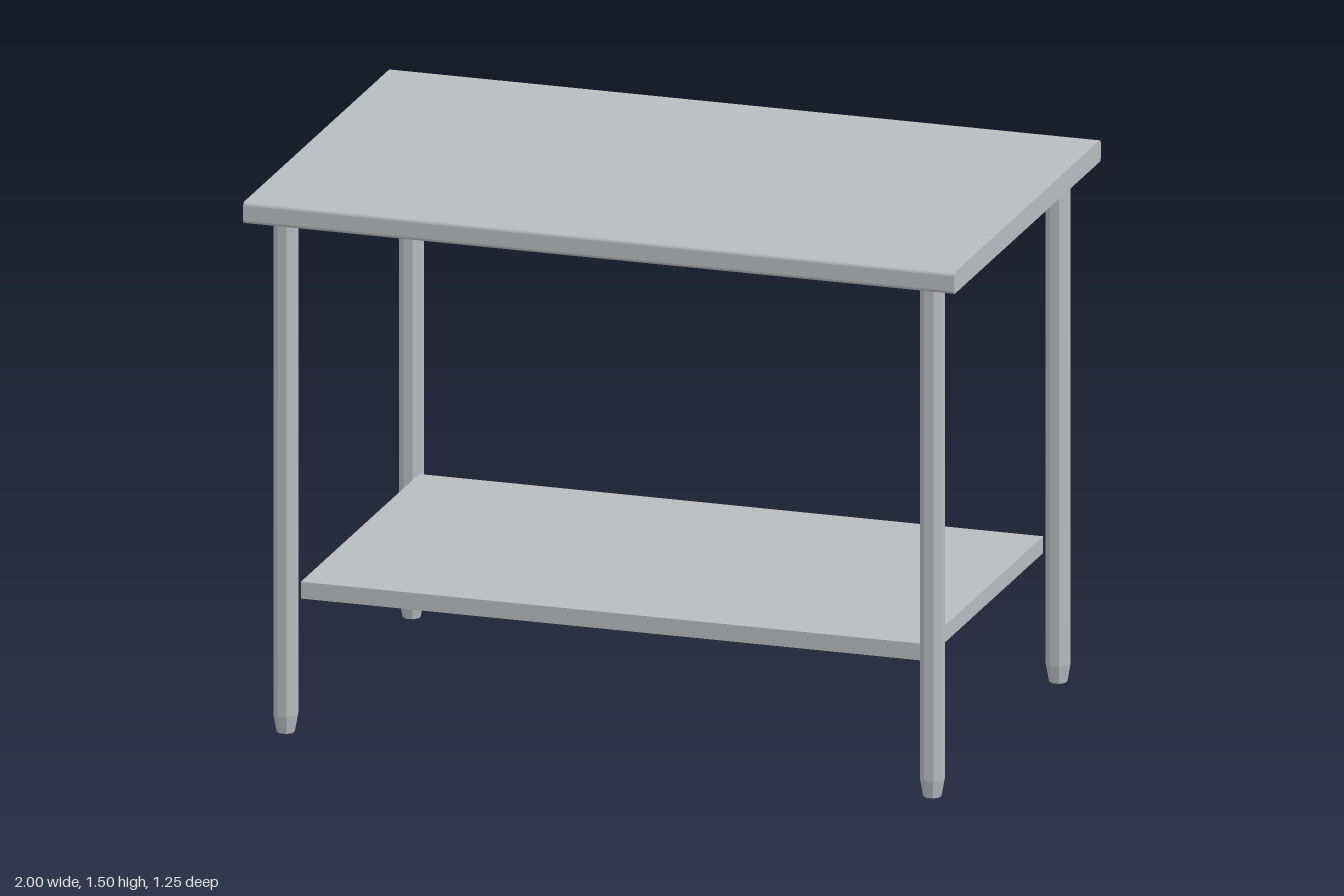
import * as THREE from 'three';

export function createModel() {
  const group = new THREE.Group();
  const steel = new THREE.MeshStandardMaterial({ color: 0xb9bcbf });
  steel.name = 'brushed steel';

  function add(name, geometry, x, y, z) {
    const mesh = new THREE.Mesh(geometry, steel);
    mesh.name = name;
    mesh.position.set(x, y, z);
    group.add(mesh);
    return mesh;
  }

  // Table top: slab profile with softened long edges, swept along x
  const w = 0.625, h = 0.03, r = 0.01;
  const profile = new THREE.Shape();
  profile.moveTo(-w + r, -h);
  profile.lineTo(w - r, -h);
  profile.absarc(w - r, -h + r, r, -Math.PI / 2, 0);
  profile.absarc(w - r, h - r, r, 0, Math.PI / 2);
  profile.absarc(-w + r, h - r, r, Math.PI / 2, Math.PI);
  profile.absarc(-w + r, -h + r, r, Math.PI, Math.PI * 1.5);
  const topGeometry = new THREE.ExtrudeGeometry(profile, { depth: 2, bevelEnabled: false, curveSegments: 4 });
  topGeometry.translate(0, 0, -1).rotateY(Math.PI / 2);
  add('tableTop', topGeometry, 0, 1.47, 0);

  // Lower shelf, held between the legs
  add('shelf', new THREE.BoxGeometry(1.756, 0.047, 1.006), 0, 0.389, 0);

  // Eight-sided legs with tapered feet, flat sides facing the axes
  const turn = Math.PI / 8;
  const legGeometry = new THREE.CylinderGeometry(0.0335, 0.0335, 1.39, 8).rotateY(turn).toNonIndexed();
  const footGeometry = new THREE.CylinderGeometry(0.0335, 0.0245, 0.05, 8).rotateY(turn).toNonIndexed();
  for (const g of [legGeometry, footGeometry]) g.computeVertexNormals();
  for (const sx of [-1, 1]) {
    for (const sz of [-1, 1]) {
      const label = (sz > 0 ? 'front' : 'back') + (sx > 0 ? 'Left' : 'Right');
      add(label + 'Leg', legGeometry, sx * 0.91, 0.745, sz * 0.535);
      add(label + 'Foot', footGeometry, sx * 0.91, 0.025, sz * 0.535);
    }
  }
  return group;
}
